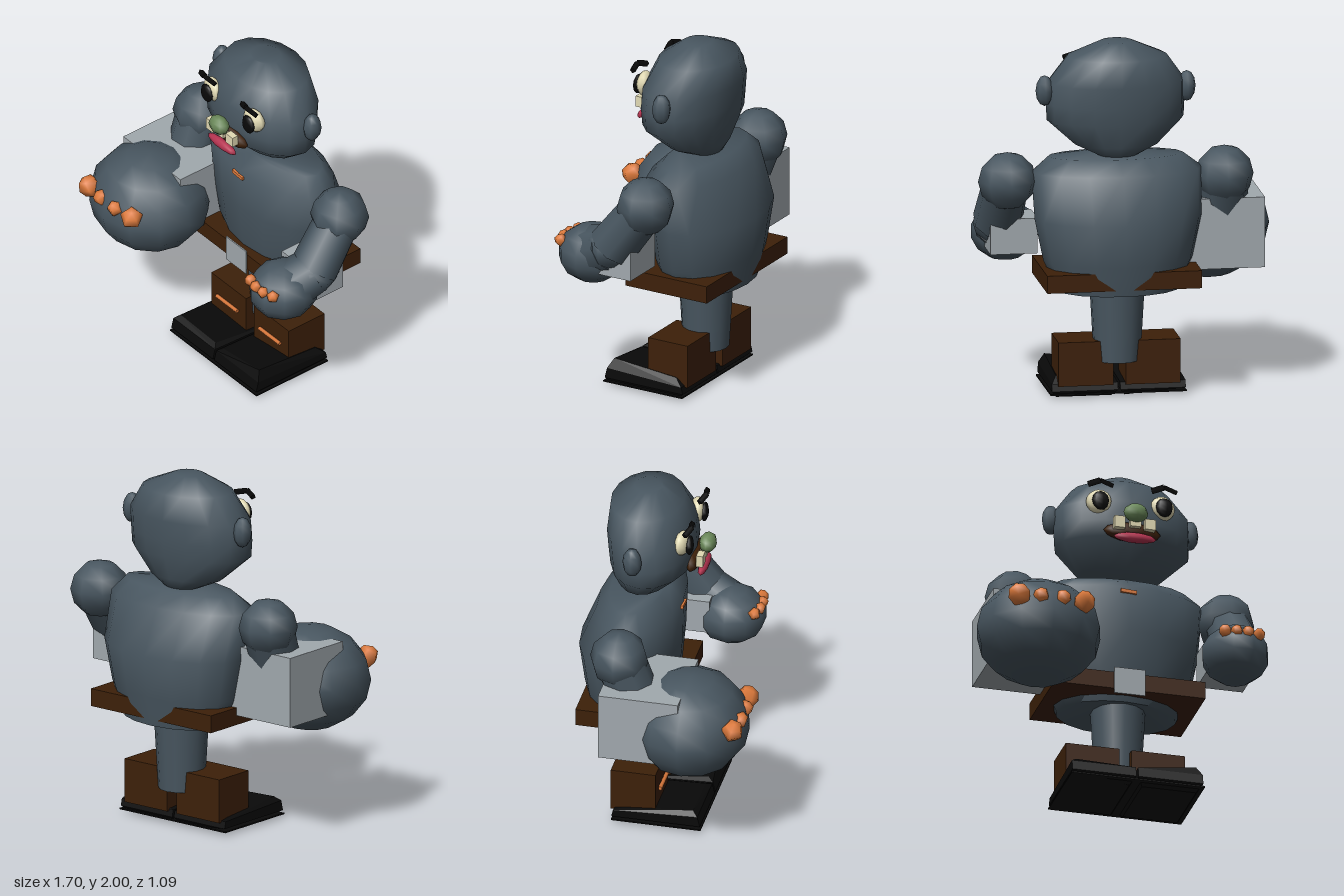
import * as THREE from 'three';
import { toCreasedNormals } from 'three/addons/utils/BufferGeometryUtils.js';
import { ConvexGeometry } from 'three/addons/geometries/ConvexGeometry.js';

const material = (name, color) => {
  const m = new THREE.MeshStandardMaterial({ color });
  m.name = name;
  return m;
};

// Closed body from elliptical rings [y, centreX, centreZ, radiusX, radiusZ], bottom to top
function loft(rings, n = 16) {
  const pos = [], idx = [];
  for (const [y, cx, cz, rx, rz] of rings) {
    for (let i = 0; i < n; i++) {
      const a = (i / n) * Math.PI * 2;
      pos.push(cx + Math.sin(a) * rx, y, cz + Math.cos(a) * rz);
    }
  }
  for (let r = 0; r < rings.length - 1; r++) {
    for (let i = 0; i < n; i++) {
      const a = r * n + i, b = r * n + (i + 1) % n;
      idx.push(a, b, b + n, a, b + n, a + n);
    }
  }
  const last = (rings.length - 1) * n;
  for (let i = 1; i < n - 1; i++) {
    idx.push(0, i + 1, i, last, last + i, last + i + 1);
  }
  const g = new THREE.BufferGeometry();
  g.setAttribute('position', new THREE.Float32BufferAttribute(pos, 3));
  g.setIndex(idx);
  return toCreasedNormals(g, 1.25);
}

export function createModel() {
  const model = new THREE.Group();
  model.name = 'bigFistedOgre';

  const skin = material('slate skin', 0x485660);
  const brown = material('dark brown leather', 0x3d2009);
  const black = material('black', 0x090909);
  const metal = material('grey metal', 0xa1a9ae);
  const orange = material('orange', 0xdd7a3c);
  const cream = material('cream', 0xe2dab4);
  const green = material('green nose', 0x6a8859);
  const red = material('red lip', 0xb53350);

  const add = (name, geo, mat, p = [0, 0, 0], s = [1, 1, 1]) => {
    const mesh = new THREE.Mesh(geo, mat);
    mesh.name = name;
    mesh.position.set(...p);
    mesh.scale.set(...s);
    model.add(mesh);
    return mesh;
  };
  const ball = (name, mat, p, s, w = 8, h = 6) => add(name, new THREE.SphereGeometry(1, w, h), mat, p, s);
  // Box given by its minimum and maximum corners
  const box = (name, mat, a, b) => add(name,
    new THREE.BoxGeometry(b[0] - a[0], b[1] - a[1], b[2] - a[2]), mat,
    [0, 1, 2].map(i => (a[i] + b[i]) / 2));
  // Limb or bar between two points
  const limb = (name, mat, a, b, r0, r1, sides = 9) => {
    const va = new THREE.Vector3(...a), vb = new THREE.Vector3(...b), d = vb.clone().sub(va);
    const mesh = add(name, new THREE.CylinderGeometry(r1, r0, d.length(), sides), mat,
      va.clone().add(vb).multiplyScalar(0.5).toArray());
    mesh.quaternion.setFromUnitVectors(new THREE.Vector3(0, 1, 0), d.normalize());
    return mesh;
  };

  // Head and torso
  add('head', loft([
    [1.365, 0.065, -0.22, 0.11, 0.09],
    [1.42, 0.065, -0.185, 0.235, 0.15],
    [1.555, 0.067, -0.14, 0.385, 0.235],
    [1.65, 0.067, -0.14, 0.39, 0.245],
    [1.77, 0.067, -0.15, 0.388, 0.245],
    [1.92, 0.065, -0.175, 0.28, 0.205],
    [2.0, 0.065, -0.17, 0.09, 0.08],
  ]), skin);
  add('torso', loft([
    [0.61, 0.07, -0.27, 0.34, 0.22],
    [0.78, 0.07, -0.26, 0.42, 0.26],
    [1.02, 0.07, -0.265, 0.47, 0.285],
    [1.28, 0.07, -0.21, 0.48, 0.235],
    [1.365, 0.08, -0.22, 0.38, 0.155],
  ]), skin);
  box('chestMark', orange, [0.02, 1.24, 0], [0.11, 1.26, 0.035]).rotation.z = -0.06;

  // Face
  for (const s of [-1, 1]) {
    const side = s < 0 ? 'right' : 'left';
    const ex = 0.067 + s * 0.183;
    ball(side + 'Ear', skin, [0.07 + s * 0.4, 1.73, -0.175], [0.05, 0.087, 0.055]);
    ball(side + 'Eye', cream, [ex, 1.762, 0.063], [0.073, 0.072, 0.042], 9, 8).rotation.y = s * 0.2;
    ball(side + 'Pupil', black, [ex, 1.752, 0.104], [0.05, 0.057, 0.022], 7, 6);
    const brow = [[-0.07, 1.85, 0.09], [-0.005, 1.87, 0.115], [0.07, 1.852, 0.1]]
      .map(([x, y, z]) => [ex + x, y, z]);
    for (let i = 0; i < 2; i++) limb(side + 'Brow', black, brow[i], brow[i + 1], 0.017, 0.017, 4);
  }
  ball('nose', green, [0.069, 1.67, 0.165], [0.071, 0.055, 0.05]);
  ball('mouth', brown, [0.066, 1.58, 0.095], [0.165, 0.056, 0.045], 10, 6);
  ball('lowerLip', red, [0.07, 1.526, 0.145], [0.122, 0.03, 0.028], 10, 6);
  [[-0.02, 1.575, 1.645], [0.07, 1.59, 1.635], [0.154, 1.58, 1.642]].forEach(([x, y0, y1]) =>
    box('tooth', cream, [x - 0.031, y0, 0.125], [x + 0.031, y1, 0.163]));

  // Left arm: small fist
  ball('leftShoulder', skin, [0.683, 1.23, -0.2], [0.165, 0.163, 0.165]);
  limb('leftUpperArm', skin, [0.69, 1.2, -0.18], [0.705, 0.96, 0], 0.13, 0.14);
  ball('leftElbow', skin, [0.705, 0.95, 0.015], [0.138, 0.125, 0.14]);
  limb('leftForearm', skin, [0.705, 0.95, 0.015], [0.65, 0.87, 0.18], 0.135, 0.15);
  ball('leftFist', skin, [0.64, 0.866, 0.165], [0.193, 0.168, 0.2], 10, 7);
  box('leftBracer', metal, [0.505, 0.8, -0.155], [0.77, 1.0, 0.07]);

  // Right arm: huge fist
  ball('rightShoulder', skin, [-0.537, 1.225, -0.2], [0.165, 0.165, 0.165]);
  limb('rightUpperArm', skin, [-0.535, 1.22, -0.2], [-0.53, 0.95, -0.1], 0.145, 0.14);
  ball('rightFist', skin, [-0.5, 0.85, 0.2], [0.355, 0.297, 0.335], 12, 8);
  box('rightBracer', metal, [-0.755, 0.7, -0.27], [-0.25, 1.1, 0.185]);

  // Knuckles: outer ones set slightly back
  const knuckles = (name, x0, step, z, rOuter, rInner) => {
    for (let i = 0; i < 4; i++) {
      const outer = i === 0 || i === 3;
      add(name, new THREE.SphereGeometry(outer ? rOuter : rInner, 5, 4), orange,
        [x0 + i * step, 0.938, outer ? z - 0.015 : z]).rotation.set(0.3, i, 0.4);
    }
  };
  knuckles('rightKnuckle', -0.685, 0.123, 0.495, 0.066, 0.048);
  knuckles('leftKnuckle', 0.542, 0.064, 0.333, 0.037, 0.036);

  // Belt and legs
  box('belt', brown, [-0.365, 0.645, -0.49], [0.505, 0.745, 0.035]);
  box('buckle', metal, [-0.022, 0.615, 0.036], [0.157, 0.772, 0.044]);
  limb('legs', skin, [0.07, 0.2, -0.225], [0.07, 0.66, -0.225], 0.13, 0.156, 14);

  // Shoes: bottom edge, widest line, then top edge
  const shoe = (x0, x1, inner, outer, tilt) => new ConvexGeometry([
    [0.03, 0, 0.16], [0.03, 0, -0.25],
    [0, 0.04, 0.205], [0, 0.04, -0.3], [0, 0.1, 0.19], [0, 0.08, -0.29],
    [0.03, -1, 0.16], [0.03, -1, -0.24],
  ].flatMap(([d, y, z]) => [[x0 + d, inner, tilt], [x1 - d, outer, 0]].map(([x, top, lift]) =>
    new THREE.Vector3(x, y < 0 ? top - (z < 0 ? 0.035 : 0) : y + (y === 0 ? lift : 0), z))));
  add('rightShoe', shoe(-0.305, 0.063, 0.125, 0.115, 0.03), black);
  add('leftShoe', shoe(0.075, 0.447, 0.115, 0.155, 0), black);
  box('sole', black, [-0.31, 0.017, -0.3], [0.455, 0.025, 0.21]);

  // Boot shafts with straps
  for (const x of [-0.12, 0.258]) {
    box('bootShaft', brown, [x - 0.154, 0.07, -0.31], [x + 0.154, 0.32, -0.055]);
    limb('bootStrap', orange, [x - 0.092, 0.2, -0.043], [x + 0.092, 0.2, -0.043], 0.012, 0.012, 5);
  }
  return model;
}
